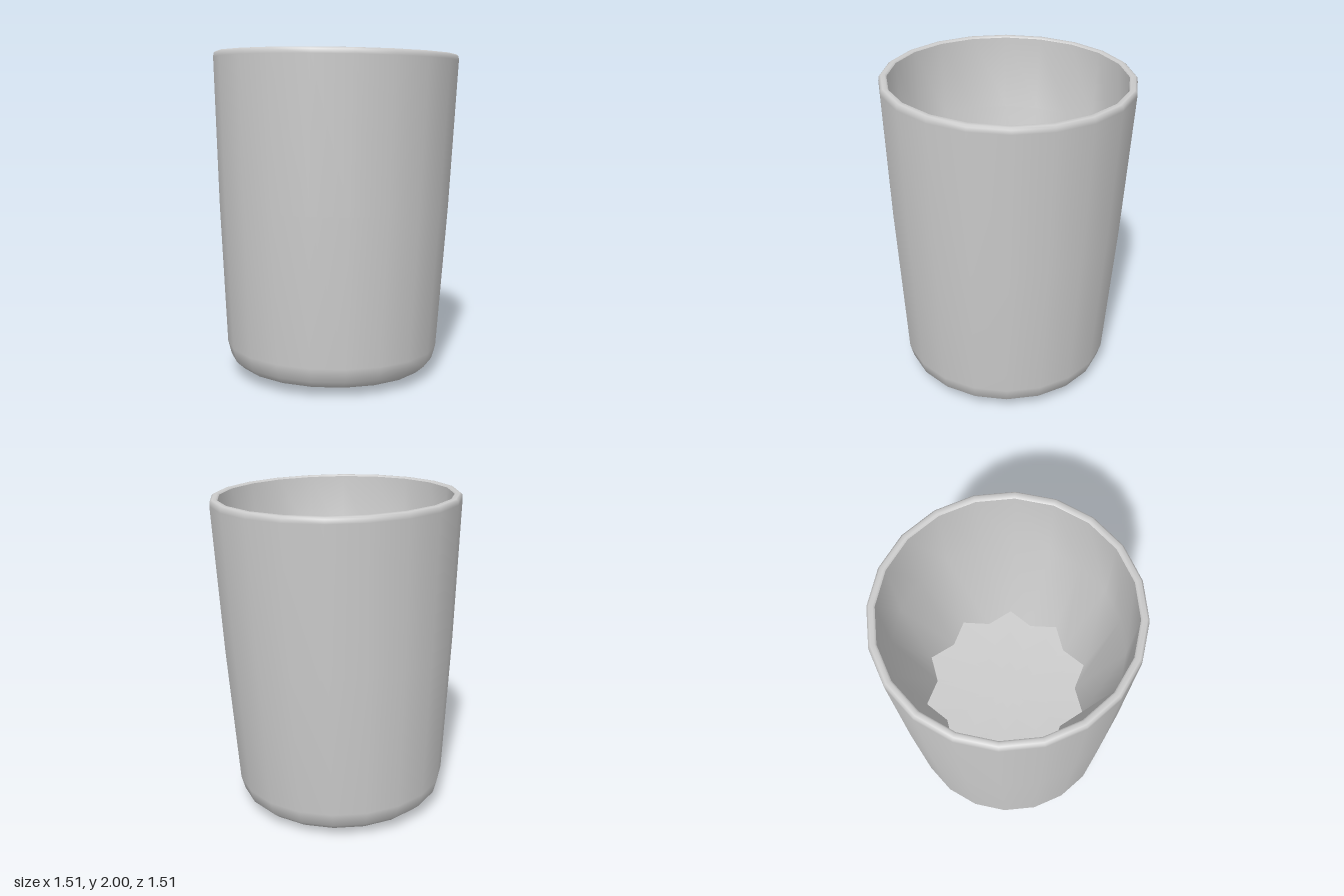
import * as THREE from 'three';
import { mergeVertices } from 'three/addons/utils/BufferGeometryUtils.js';

const SIDES = 20;
const FLOOR_Y = 0.8;

// Revolve a [radius, height] profile; optionally reshape a ring into the fluted floor edge
function revolve(profile, flutedRing = -1) {
  const points = profile.map(([r, y]) => new THREE.Vector2(r, y));
  const geo = new THREE.LatheGeometry(points, SIDES);
  if (flutedRing >= 0) {
    const pos = geo.attributes.position;
    for (let i = 0; i <= SIDES; i++) {
      const a = (i / SIDES) * Math.PI * 2;
      const r = i % 2 ? 0.53 : 0.45;
      pos.setXYZ(i * points.length + flutedRing, Math.sin(a) * r + 0.04, FLOOR_Y, Math.cos(a) * r);
    }
  }
  // weld the seam so the shading is smooth all round
  geo.deleteAttribute('normal');
  geo.deleteAttribute('uv');
  const welded = mergeVertices(geo, 1e-4);
  welded.computeVertexNormals();
  return welded;
}

export function createModel() {
  const grey = new THREE.MeshStandardMaterial({ color: 0xcccccc });
  grey.name = 'grey';
  const cup = new THREE.Group();
  cup.name = 'cup';

  const add = (name, geo) => {
    const mesh = new THREE.Mesh(geo, grey);
    mesh.name = name;
    cup.add(mesh);
  };

  // outer wall with rounded base and lip
  add('outerWall', revolve([
    [0, 0], [0.36, 0], [0.5, 0.012], [0.59, 0.04], [0.64, 0.085], [0.663, 0.17],
    [0.715, 1.05], [0.753, 1.94], [0.75, 1.965], [0.738, 1.975], [0.715, 1.977], [0.705, 1.967],
  ]));

  // inner wall narrowing to the fluted floor edge
  add('innerWall', revolve([[0.705, 1.967], [0.68, 1.5], [0.49, FLOOR_Y]], 2));

  // slightly dished inside floor
  add('floor', revolve([[0.49, FLOOR_Y], [0, FLOOR_Y - 0.03]], 0));

  // slight lean to the model's left
  cup.rotation.set(0, -0.02, -0.021);
  cup.position.set(-0.041, 0.01, 0);

  const model = new THREE.Group();
  model.name = 'tumbler';
  model.add(cup);
  return model;
}
